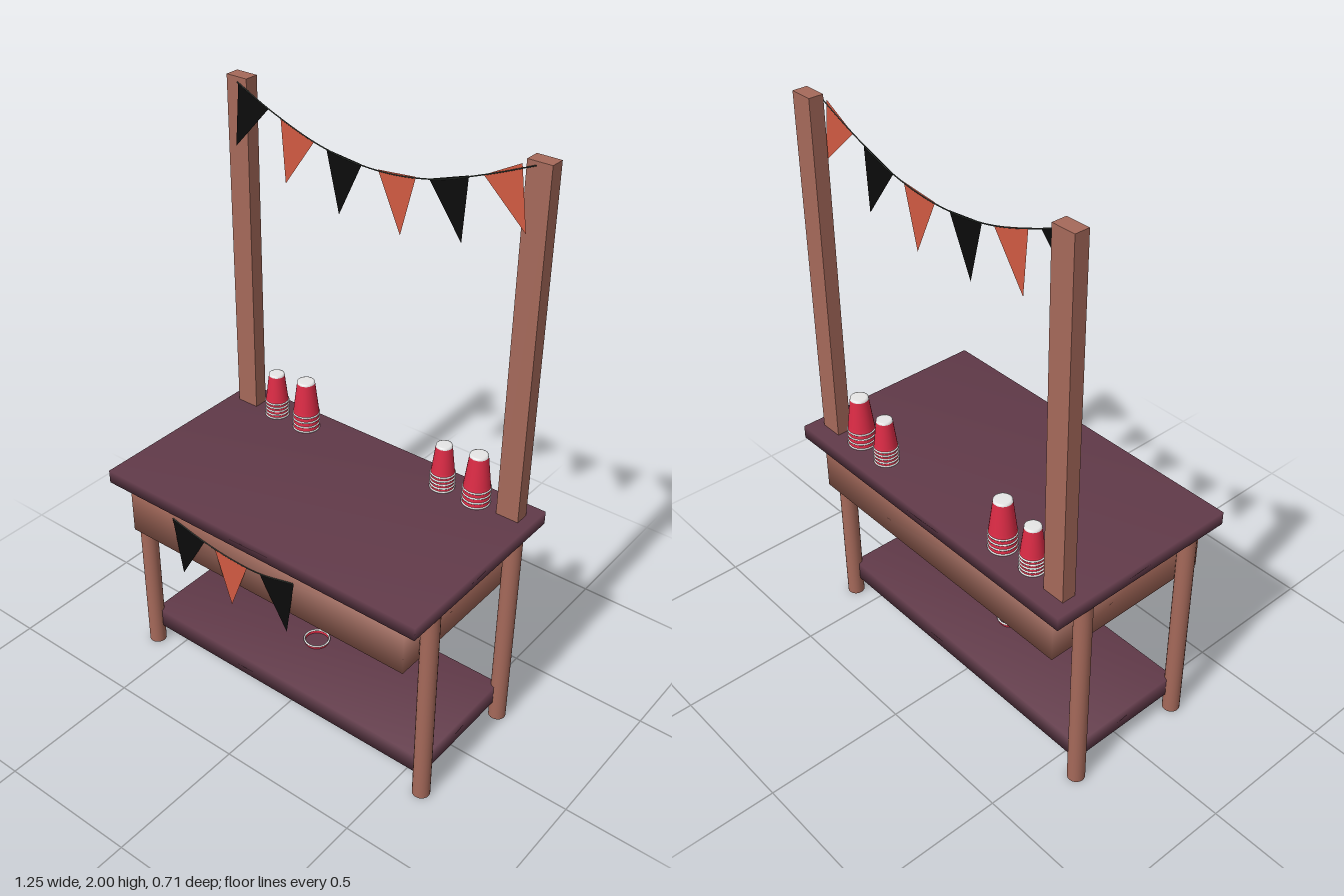
import * as THREE from 'three';
import { mergeVertices } from 'three/addons/utils/BufferGeometryUtils.js';

export function createModel() {
  const model = new THREE.Group();
  model.name = 'partyTable';
  const paint = (name, color, side = THREE.FrontSide) => {
    const m = new THREE.MeshStandardMaterial({ color, side });
    m.name = name;
    return m;
  };
  const wood = paint('brownWood', 0xa5695a);
  const plum = paint('plumBoard', 0x613a49);
  const red = paint('cupRed', 0xdb2b45, THREE.DoubleSide);
  const white = paint('cupWhite', 0xe6e6e6, THREE.DoubleSide);
  const black = paint('flagBlack', 0x0b0b0b, THREE.DoubleSide);
  const orange = paint('flagOrange', 0xd05a42, THREE.DoubleSide);
  const cord = paint('cordGrey', 0x343a34);

  const add = (parent, name, geometry, material, x = 0, y = 0, z = 0) => {
    const mesh = new THREE.Mesh(geometry, material);
    mesh.name = name;
    mesh.position.set(x, y, z);
    parent.add(mesh);
    return mesh;
  };

  // Box whose corners share normals, for softly shaded boards
  const softBox = (w, h, d) => {
    let g = new THREE.BoxGeometry(w, h, d);
    g.deleteAttribute('normal');
    g.deleteAttribute('uv');
    g = mergeVertices(g);
    g.computeVertexNormals();
    return g;
  };

  // Table
  add(model, 'tableTop', softBox(1.25, 0.047, 0.714), plum, 0, 0.782, 0);
  add(model, 'apron', softBox(1.13, 0.19, 0.64), wood, 0, 0.664, 0.002);
  add(model, 'lowerShelf', softBox(1.18, 0.07, 0.45), plum, 0, 0.106, 0.004);
  const legGeometry = new THREE.CylinderGeometry(0.03, 0.03, 0.77, 20);
  const postGeometry = new THREE.BoxGeometry(0.081, 1.2, 0.05);
  for (const side of [-1, 1]) {
    for (const z of [0.23, -0.222]) add(model, 'leg', legGeometry, wood, side * 0.595, 0.385, z);
    add(model, 'post', postGeometry, wood, side * 0.546, 1.4, -0.276);
  }

  // One cup, base at y = 0 and mouth at y = height, wall and base separate
  const lathe = (points, n = 24) =>
    new THREE.LatheGeometry(points.map(([r, y]) => new THREE.Vector2(r, y)), n);
  const rim = (parent, radius, y) => {
    const ring = add(parent, 'cupRim', new THREE.TorusGeometry(radius, 0.0035, 8, 24), white, 0, y, 0);
    ring.rotation.x = Math.PI / 2;
  };

  // Upside-down stacks of cups
  const stack = (x, scale, rims, step) => {
    const group = new THREE.Group();
    group.name = 'cupStack';
    group.position.set(x, 0.805, -0.264);
    const rRim = 0.045 * scale, rBase = 0.029 * scale, rimTop = rims * step;
    const top = rimTop + 0.105 * scale;
    for (let i = 0; i < rims; i++) {
      const y = i * step + 0.004;
      rim(group, rRim - 0.002, y);
      add(group, 'stackedWall', lathe([[rRim - 0.001, y], [rRim - 0.004, y + step]]), red);
    }
    add(group, 'cupWall', lathe([[rRim - 0.003, rimTop], [rBase + 0.001, top - 0.007]]), red);
    add(group, 'cupBase', lathe([[rBase + 0.001, top - 0.008], [rBase, top - 0.001],
      [rBase * 0.8, top], [0, top]]), white);
    model.add(group);
  };
  stack(-0.418, 0.92, 5, 0.014);
  stack(-0.286, 1.04, 4, 0.019);
  stack(0.288, 0.92, 5, 0.014);
  stack(0.42, 1.04, 4, 0.019);

  // Upright cup set into the lower shelf
  const cup = new THREE.Group();
  cup.name = 'shelfCup';
  cup.position.set(-0.024, 0.037, 0.003);
  add(cup, 'cupWall', lathe([[0.029, 0.007], [0.044, 0.117]]), red);
  add(cup, 'cupBase', lathe([[0, 0], [0.024, 0], [0.028, 0.001], [0.029, 0.008]]), white);
  rim(cup, 0.044, 0.117);
  model.add(cup);

  // Bunting: each flag is [left x, left y, right x, right y, tip x, tip y]
  const bunting = (name, z, cordPoints, flags) => {
    const group = new THREE.Group();
    group.name = name;
    group.position.z = z;
    const path = new THREE.CatmullRomCurve3(cordPoints.map(([x, y]) => new THREE.Vector3(x, y, 0)));
    add(group, 'cord', new THREE.TubeGeometry(path, 48, 0.002, 6), cord);
    flags.forEach(([ax, ay, bx, by, tx, ty], i) => {
      const shape = new THREE.Shape();
      shape.moveTo(ax, ay).lineTo(tx, ty).lineTo(bx, by).closePath();
      add(group, 'flag', new THREE.ShapeGeometry(shape), i % 2 ? orange : black);
    });
    model.add(group);
  };
  bunting('upperBunting', -0.247,
    [[-0.54, 1.985], [-0.4, 1.922], [-0.2, 1.857], [0, 1.836], [0.2, 1.86], [0.38, 1.922], [0.54, 1.99]],
    [[-0.535, 1.985, -0.415, 1.925, -0.553, 1.773],
      [-0.365, 1.91, -0.233, 1.865, -0.348, 1.7],
      [-0.185, 1.855, -0.05, 1.84, -0.135, 1.655],
      [0.01, 1.84, 0.147, 1.853, 0.097, 1.653],
      [0.193, 1.86, 0.327, 1.905, 0.315, 1.693],
      [0.375, 1.92, 0.495, 1.985, 0.525, 1.783]]);
  bunting('lowerBunting', 0.326,
    [[-0.37, 0.71], [-0.23, 0.68], [-0.12, 0.667], [0, 0.668], [0.145, 0.7]],
    [[-0.37, 0.71, -0.23, 0.68, -0.335, 0.5],
      [-0.185, 0.672, -0.048, 0.664, -0.12, 0.475],
      [0.007, 0.666, 0.147, 0.7, 0.115, 0.487]]);

  return model;
}
